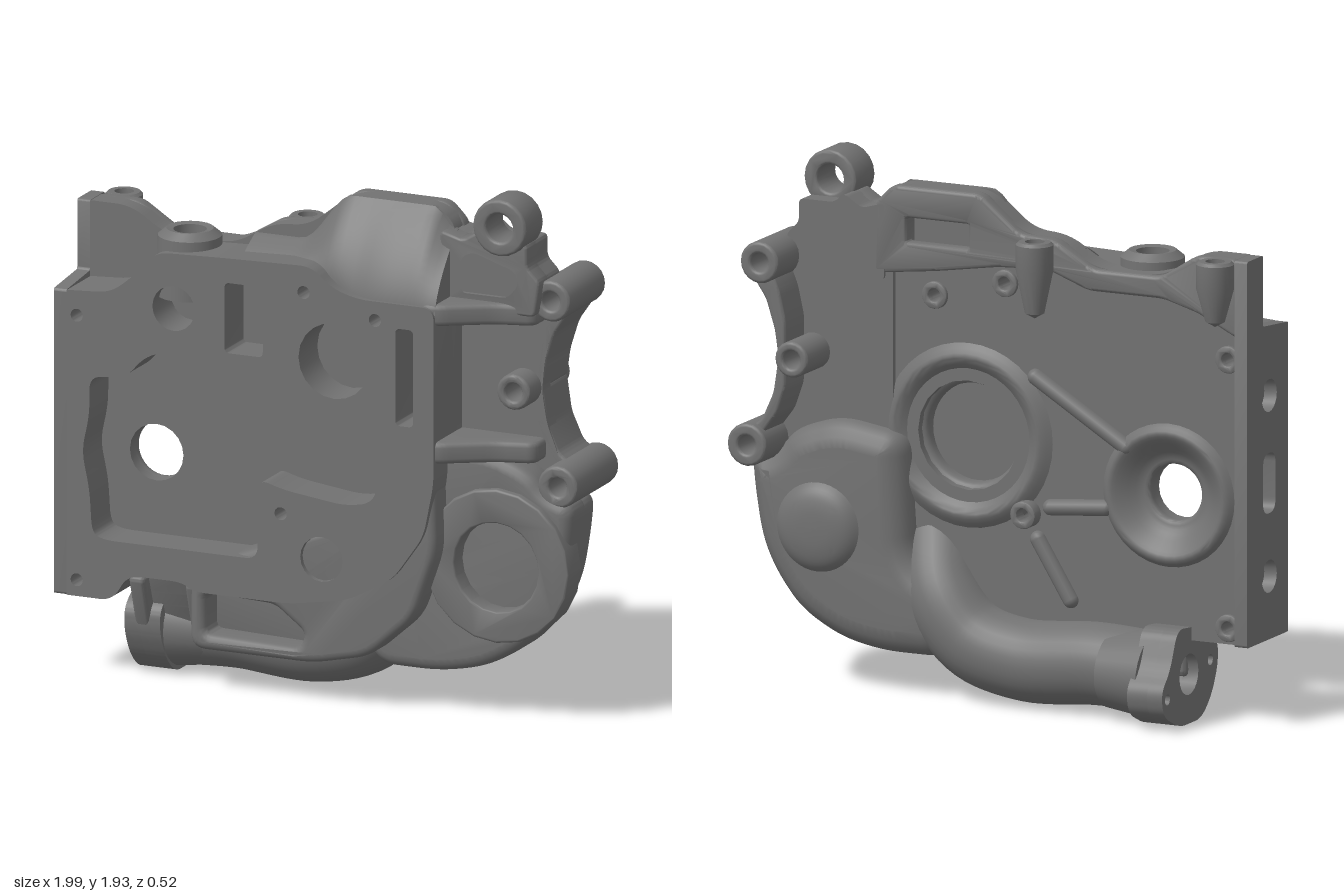
import * as THREE from 'three';
import { toCreasedNormals } from 'three/addons/utils/BufferGeometryUtils.js';

const mat = new THREE.MeshStandardMaterial({ color: 0x727272 });
const openMat = new THREE.MeshStandardMaterial({ color: 0x727272, side: THREE.DoubleSide });

// Closed outline with softened corners
function outline(pts, r = 0.03, Type = THREE.Shape) {
  const s = new Type();
  const v = pts.map(p => new THREE.Vector2(...p)), n = v.length;
  v.forEach((p, i) => {
    const toward = q => {
      const d = q.clone().sub(p), l = d.length();
      return p.clone().addScaledVector(d, Math.min(r, l * 0.45) / l);
    };
    const a = toward(v[(i + n - 1) % n]), b = toward(v[(i + 1) % n]);
    if (i) s.lineTo(a.x, a.y); else s.moveTo(a.x, a.y);
    s.quadraticCurveTo(p.x, p.y, b.x, b.y);
  });
  s.closePath();
  return s;
}
const circle = (x, y, r, Type = THREE.Path) => new Type().absarc(x, y, r, 0, Math.PI * 2);
const hole = (pts, r) => outline(pts, r, THREE.Path);
const rect = (x0, y0, x1, y1) => [[x0, y0], [x1, y0], [x1, y1], [x0, y1]];
const vec2s = pts => pts.map(p => new THREE.Vector2(...p));

// Extrusion spanning d0..d1 with an optional inset bevel
function slab(shape, holes, d0, d1, bevel = 0) {
  shape.holes = holes;
  const g = new THREE.ExtrudeGeometry(shape, {
    depth: d1 - d0 - 2 * bevel, curveSegments: 10, bevelEnabled: bevel > 0,
    bevelSize: bevel, bevelThickness: bevel, bevelOffset: -bevel, bevelSegments: 4,
  });
  g.translate(0, 0, d0 + bevel);
  return toCreasedNormals(g, 0.6);
}

export function createModel() {
  const group = new THREE.Group();
  const add = (name, g, m = mat) => {
    const mesh = new THREE.Mesh(g, m);
    mesh.name = name;
    group.add(mesh);
    return mesh;
  };
  // Extrude along x from a (z, y) profile
  const alongX = (pts, holes, x0, x1, bevel, r) =>
    slab(outline(pts.map(([z, y]) => [-z, y]), r), holes, x0, x1, bevel).rotateY(Math.PI / 2);
  // Extrude along y from an (x, z) profile
  const alongY = (pts, y0, y1, bevel) =>
    slab(outline(pts, 0.04), [], -y1, -y0, bevel).rotateX(Math.PI / 2);
  // Turned ring on the rear face; heights run toward the back
  const rearRing = (name, x, y, profile) => add(name, toCreasedNormals(new THREE.LatheGeometry(
    new THREE.SplineCurve(vec2s(profile)).getPoints(16), 40)
    .rotateX(-Math.PI / 2).translate(x, y, 0), 0.8), openMat);
  // Hollow boss running along z
  const boss = (name, x, y, r, ri, z0, z1, bevel = 0.012) =>
    add(name, slab(circle(x, y, r, THREE.Shape), [circle(x, y, ri)], z0, z1, bevel));

  const bolts = [[-0.91, 1.34], [-0.91, 0.36], [-0.02, 1.53], [0.26, 1.46], [-0.11, 0.7]];
  const boltHoles = () => bolts.map(([x, y]) => circle(x, y, 0.024));

  // Front plate, pockets open to the front
  const front = () => outline([[-0.95, 0.31], [-0.95, 0.3], [-0.94, 0.3], [-0.77, 0.3], [-0.71, 0.4], [-0.5, 0.4],
    [-0.45, 0.37], [-0.08, 0.37], [0.15, 0.41], [0.33, 0.51], [0.45, 0.68], [0.49, 0.88], [0.49, 1.53], [0.19, 1.53],
    [0.09, 1.56], [0.01, 1.63], [-0.35, 1.62], [-0.6, 1.61], [-0.7, 1.5], [-0.78, 1.44], [-0.94, 1.43], [-0.95, 1.43], [-0.95, 1.42]], 0.05);
  const pocket = hole([[-0.8, 0.52], [-0.2, 0.52], [-0.2, 0.82], [-0.1, 0.79], [0.14, 0.76], [0.25, 0.78],
    [0.28, 0.88], [0.24, 0.97], [0.12, 0.99], [-0.2, 1.02], [-0.21, 1.13], [-0.36, 1.14], [-0.44, 1.23],
    [-0.54, 1.25], [-0.64, 1.22], [-0.72, 1.13], [-0.86, 1.12], [-0.86, 0.98], [-0.89, 0.84], [-0.86, 0.7], [-0.85, 0.54]], 0.05);
  add('frontPlate', slab(front(), [pocket, circle(-0.53, 1.41, 0.083), circle(0.1, 1.29, 0.14),
    circle(0.05, 0.55, 0.083), hole(rect(-0.33, 1.27, -0.18, 1.53), 0.02),
    hole(rect(0.34, 1.08, 0.41, 1.44), 0.02), ...boltHoles()], 0.1, 0.26));
  add('pocketFloor', slab(front(), [circle(-0.67, 0.82, 0.105), ...boltHoles()], 0.05, 0.1));

  // Rear body with recesses open to the back, thicker along its top edge
  const back = outline([[-0.95, 0.31], [-0.95, 0.3], [-0.94, 0.3], [-0.4, 0.3], [0.1, 0.25], [0.5, 0.35], [0.55, 0.7],
    [0.49, 1], [0.49, 1.78], [0.42, 1.85], [0.07, 1.85], [-0.09, 1.72], [-0.23, 1.71], [-0.38, 1.62], [-0.65, 1.62],
    [-0.79, 1.71], [-0.94, 1.71], [-0.95, 1.71], [-0.95, 1.7]], 0.06);
  add('rearFace', slab(back, [circle(-0.67, 0.82, 0.22), circle(0.13, 0.96, 0.2),
    hole(rect(0.1, 1.63, 0.38, 1.75), 0.01), ...boltHoles()], -0.03, 0.06));
  add('rearTopBand', slab(outline([[-0.96, 1.42], [-0.8, 1.5], [-0.66, 1.54], [-0.36, 1.54], [-0.2, 1.6], [0, 1.59],
    [0.25, 1.55], [0.5, 1.52], [0.49, 1.78], [0.42, 1.85], [0.07, 1.85], [-0.09, 1.72], [-0.23, 1.71], [-0.38, 1.62],
    [-0.65, 1.62], [-0.79, 1.71], [-0.96, 1.71]]), [hole(rect(0.115, 1.645, 0.365, 1.735), 0.01)], -0.06, 0, 0.015));

  // Left-hand joint face with blind ports
  add('jointFace', alongX([[-0.066, 0.3], [0.26, 0.3], [0.26, 1.43], [0.06, 1.45], [0.06, 1.71], [-0.066, 1.71]],
    [circle(-0.11, 0.53, 0.06), circle(-0.11, 1.19, 0.06),
      hole(rect(-0.16, 0.76, -0.06, 0.98), 0.05)], -1, -0.95, 0, 0.01));

  // Hump over the top edge, falling away toward its top and its low end
  const hump = new THREE.BoxGeometry(1, 1, 1, 28, 12, 1);
  const hp = hump.attributes.position;
  for (let i = 0; i < hp.count; i++) {
    const x = -0.3 + 0.79 * (hp.getX(i) + 0.5), v = hp.getY(i) + 0.5;
    const rise = THREE.MathUtils.smoothstep(x, -0.12, 0.08);
    const top = 1.67 + 0.18 * rise - 0.08 * THREE.MathUtils.smoothstep(x, 0.4, 0.49);
    const bottom = 1.57 - 0.07 * THREE.MathUtils.smoothstep(x, 0.05, 0.18);
    const depth = 0.14 + 0.05 * THREE.MathUtils.smoothstep(x, -0.05, 0.3);
    const face = 0.06 + depth * (1 - v ** 1.6);
    hp.setXYZ(i, x, bottom + v * (top - bottom), hp.getZ(i) > 0 ? face : 0.04);
  }
  add('topHump', toCreasedNormals(hump, 0.7));

  // Filler port and upright bosses on the top edge
  add('topPort', toCreasedNormals(new THREE.LatheGeometry(vec2s([[0, -0.04], [0.06, -0.04], [0.06, 0.04], [0.085, 0.045],
    [0.115, 0.02], [0.12, -0.2]]), 32).translate(-0.53, 1.63, 0.12), 0.5), openMat);
  for (const [x, len] of [[-0.89, 0.24], [-0.17, 0.28]]) {
    const p = [[0, -len], [0.035, -len + 0.02], [0.068, -0.1], [0.068, -0.01], [0.058, 0], [0.035, 0], [0.035, -0.08], [0, -0.08]];
    add('uprightBoss', toCreasedNormals(new THREE.LatheGeometry(vec2s(p), 24).translate(x, 1.71, -0.1), 0.6), openMat);
  }

  // Rear rings and small bolt bosses
  rearRing('largeRearRing', 0.13, 0.96, [[0.18, -0.05], [0.185, -0.01], [0.22, 0.01], [0.27, 0.05], [0.3, 0.055], [0.35, 0.02]]);
  rearRing('shaftBowl', -0.67, 0.82, [[0.105, -0.06], [0.105, -0.025], [0.14, -0.01], [0.2, 0.04], [0.235, 0.055], [0.27, 0.02]]);
  bolts.forEach(([x, y], i) => boss('boltBoss', x, y, 0.05, 0.024, i === 4 ? -0.08 : -0.045, -0.01, 0.006));

  // Stiffening ribs on the back
  for (const [x0, y0, x1, y1] of [[-0.14, 1.2, -0.5, 0.98], [-0.15, 0.61, -0.28, 0.4], [-0.2, 0.73, -0.42, 0.75]]) {
    const rib = add('rearRib', new THREE.CapsuleGeometry(0.03, Math.hypot(x1 - x0, y1 - y0), 5, 12));
    rib.position.set((x0 + x1) / 2, (y0 + y1) / 2, -0.03);
    rib.rotation.z = Math.atan2(y1 - y0, x1 - x0) - Math.PI / 2;
  }

  // Side web, its curved edge wall and sloping ribs
  add('sideWeb', slab(outline([[0.42, 0.85], [0.42, 1.6], [0.82, 1.6], [0.84, 1.42], [0.815, 1.31], [0.805, 1.2],
    [0.825, 1.08], [0.87, 0.97], [0.86, 0.88]]), [circle(0.737, 1.213, 0.034)], -0.05, 0.02));
  add('upperEdgeWall', slab(outline([[0.91, 1.5], [0.855, 1.42], [0.82, 1.31], [0.805, 1.205], [0.775, 1.205],
    [0.775, 1.34], [0.8, 1.45], [0.83, 1.52]], 0.02), [], -0.2, 0.02, 0.012));
  add('lowerEdgeWall', slab(outline([[0.805, 1.215], [0.825, 1.08], [0.87, 0.98], [0.95, 0.92], [0.87, 0.92],
    [0.81, 1], [0.775, 1.1], [0.775, 1.215]], 0.02), [], -0.2, 0.02, 0.012));
  const rib = [[0.42, -0.03], [0.42, 0.25], [0.5, 0.25], [0.58, 0.2], [0.68, 0.14], [0.82, 0.1], [0.82, -0.03]];
  add('upperSideRib', alongY(rib, 1.46, 1.54, 0.02));
  add('lowerSideRib', alongY(rib, 0.95, 1.03, 0.02));
  const bracket = () => outline([[0.45, 1.5], [0.45, 1.78], [0.54, 1.755], [0.61, 1.8], [0.65, 1.765], [0.79, 1.765],
    [0.79, 1.68], [0.84, 1.63], [0.82, 1.5]], 0.02);
  add('bracketPanel', slab(bracket(), [], -0.06, 0.04));
  add('bracketRim', slab(bracket(), [hole([[0.525, 1.55], [0.525, 1.7], [0.58, 1.725], [0.75, 1.67],
    [0.77, 1.61], [0.72, 1.55]], 0.03)], 0.02, 0.12, 0.01));

  // Mounting ears
  boss('topEar', 0.705, 1.83, 0.105, 0.052, 0.015, 0.17);
  boss('upperEar', 0.865, 1.555, 0.076, 0.034, -0.23, 0.08);
  boss('middleEar', 0.737, 1.213, 0.066, 0.033, -0.23, 0.12);
  boss('lowerEar', 0.915, 0.885, 0.078, 0.034, -0.23, 0.13);

  // Round pump housing: soft rear shell, front rim and blind bore
  const pump = () => outline([[0.36, 0.95], [0.62, 0.99], [0.8, 0.93], [0.87, 0.845], [0.975, 0.82], [0.965, 0.7], [0.935, 0.52],
    [0.88, 0.4], [0.78, 0.27], [0.62, 0.18], [0.45, 0.145], [0.2, 0.145], [0.12, 0.35], [0.33, 0.5]], 0.08);
  add('pumpShell', slab(pump(), [], -0.13, 0.09, 0.095));
  add('pumpFront', slab(pump(), [circle(0.69, 0.57, 0.2)], -0.02, 0.14, 0.045));
  add('pumpRing', slab(circle(0.69, 0.575, 0.285, THREE.Shape), [circle(0.69, 0.57, 0.165)], 0.05, 0.165, 0.01));
  rearRing('pumpRearBump', 0.68, 0.59, [[0, 0.175], [0.08, 0.17], [0.14, 0.15], [0.19, 0.1]]);

  // Lower skirt with a blind pocket
  const skirt = () => outline([[-0.48, 0.15], [0, 0.15], [0.22, 0.2], [0.4, 0.36], [0.49, 0.62], [0.48, 0.9],
    [0.3, 0.75], [-0.48, 0.45]], 0.06);
  add('lowerSkirt', slab(skirt(), [hole([[-0.42, 0.21], [-0.05, 0.2], [-0.03, 0.26], [-0.15, 0.35], [-0.42, 0.36]], 0.03)], 0.05, 0.24, 0.03));
  add('skirtFloor', slab(skirt(), [], 0.02, 0.13, 0.01));

  // Outlet pipe, flared neck and flange
  const path = new THREE.CatmullRomCurve3([[-0.62, 0.17, -0.02], [-0.4, 0.18, -0.02], [-0.1, 0.165, -0.02],
    [0.1, 0.22, -0.02], [0.23, 0.36, 0], [0.3, 0.54, 0.1]].map(p => new THREE.Vector3(...p)));
  add('outletPipe', new THREE.TubeGeometry(path, 40, 0.152, 28), openMat);
  add('pipeNeck', new THREE.CylinderGeometry(0.14, 0.165, 0.18, 28).rotateZ(-Math.PI / 2).scale(1, 1, 1.2).translate(-0.55, 0.17, -0.04));
  const flange = [[0.18, 0.17], [0.18, 0.26], [0.05, 0.34], [-0.14, 0.36], [-0.2, 0.22], [-0.27, 0.15], [-0.25, 0.06],
    [-0.12, 0.0], [0.05, 0.0], [0.13, 0.07]];
  add('pipeFlange', alongX(flange, [circle(0.05, 0.18, 0.075), circle(0.22, 0.12, 0.02), circle(-0.12, 0.2, 0.02)], -0.76, -0.7, 0, 0.05));
  add('flangeBack', alongX(flange, [circle(0.05, 0.18, 0.075)], -0.7, -0.62, 0, 0.05));
  add('flangeBracket', alongX([[0, 0.12], [0.1, 0.15], [0.16, 0.3], [0.2, 0.41], [0, 0.41]], [], -0.68, -0.5, 0.02, 0.03));
  for (const x of [-0.72, -0.5])
    add('bracketRib', alongX([[0, 0.15], [0.17, 0.17], [0.24, 0.39], [0, 0.4]], [], x, x + 0.06, 0.015, 0.03));

  return group;
}
